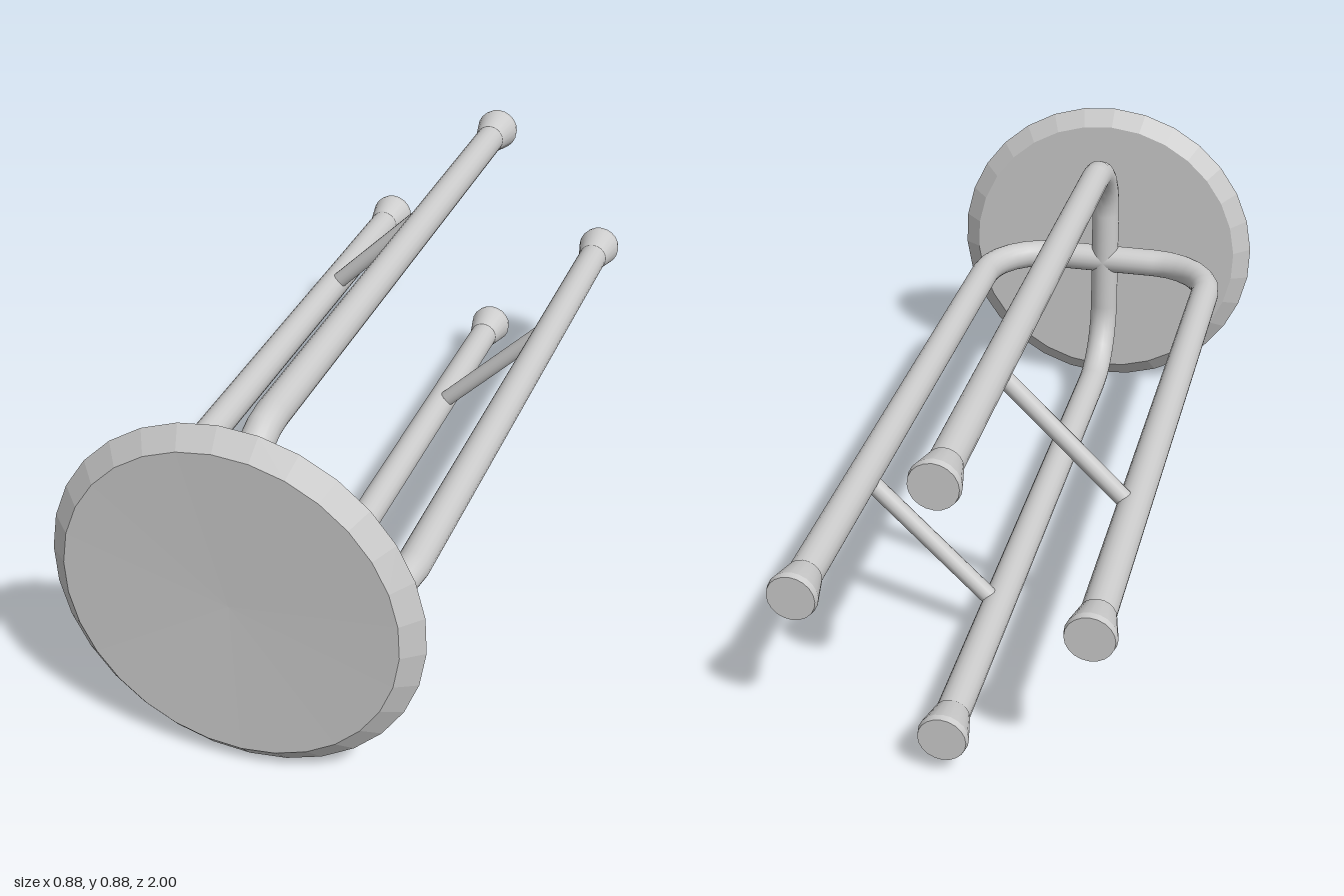
import * as THREE from 'three';

const smooth = new THREE.MeshStandardMaterial({ color: 0xcccccc });
const faceted = new THREE.MeshStandardMaterial({ color: 0xcccccc, flatShading: true });

const LEG = 0.33;      // distance of each leg from the stool's axis
const TUBE = 0.04;     // tube radius
const BEND = 0.18;     // bend radius
const TOP_Z = 0.885;   // depth of the tubes crossing behind the seat
const BEND_Z = TOP_Z - BEND;

function addMesh(parent, name, geometry, material = smooth) {
  const mesh = new THREE.Mesh(geometry, material);
  mesh.name = name;
  parent.add(mesh);
  return mesh;
}

// Round rod between two points
function addRod(parent, name, from, to, radius, sides) {
  const dir = to.clone().sub(from);
  const rod = addMesh(parent, name, new THREE.CylinderGeometry(radius, radius, dir.length(), sides));
  rod.position.copy(from).add(to).multiplyScalar(0.5);
  rod.quaternion.setFromUnitVectors(new THREE.Vector3(0, 1, 0), dir.normalize());
  return rod;
}

// Turned part whose axis runs along z; profile is [radius, z]
function turned(profile, sides, start = 0) {
  const points = profile.map(([r, z]) => new THREE.Vector2(r, z));
  return new THREE.LatheGeometry(points, sides, start).rotateX(Math.PI / 2);
}

// One leg with its bend, half of the crossing tube and a flared foot
function makeLeg() {
  const leg = new THREE.Group();
  leg.name = 'leg';
  const v = (x, z) => new THREE.Vector3(x, 0, z);
  addRod(leg, 'legTube', v(LEG, -0.97), v(LEG, BEND_Z), TUBE, 20);
  const bend = addMesh(leg, 'legBend',
    new THREE.TorusGeometry(BEND, TUBE, 20, 6, Math.PI / 2).rotateX(Math.PI / 2));
  bend.position.set(LEG - BEND, 0, BEND_Z);
  addRod(leg, 'crossTube', v(0, TOP_Z), v(LEG - BEND, TOP_Z), TUBE, 20);
  const foot = addMesh(leg, 'foot', turned(
    [[0, -1], [0.056, -1], [0.056, -1], [0.059, -0.985], [0.059, -0.985], [0.042, -0.91], [0.038, -0.91]], 20));
  foot.position.x = LEG;
  return leg;
}

export function createModel() {
  const model = new THREE.Group();
  model.name = 'stool';

  // Bevelled round seat with a slightly dished face
  const seat = addMesh(model, 'seat', turned(
    [[0, 0.925], [0.395, 0.925], [0.442, 0.96], [0.395, 1], [0, 0.992]], 30, 0.04), faceted);
  seat.position.y = 0.443;

  // Four legs around the axis
  const frame = new THREE.Group();
  frame.name = 'frame';
  frame.position.set(-0.01, 0.433, 0);
  model.add(frame);
  for (let i = 0; i < 4; i++) {
    const leg = makeLeg();
    leg.rotation.z = i * Math.PI / 2;
    frame.add(leg);
  }

  // Two parallel diagonal stretchers joining neighbouring legs
  for (const s of [1, -1]) {
    addRod(frame, 'stretcher',
      new THREE.Vector3(0, s * LEG, -0.477), new THREE.Vector3(-s * LEG, 0, -0.477), 0.022, 14);
  }
  return model;
}
